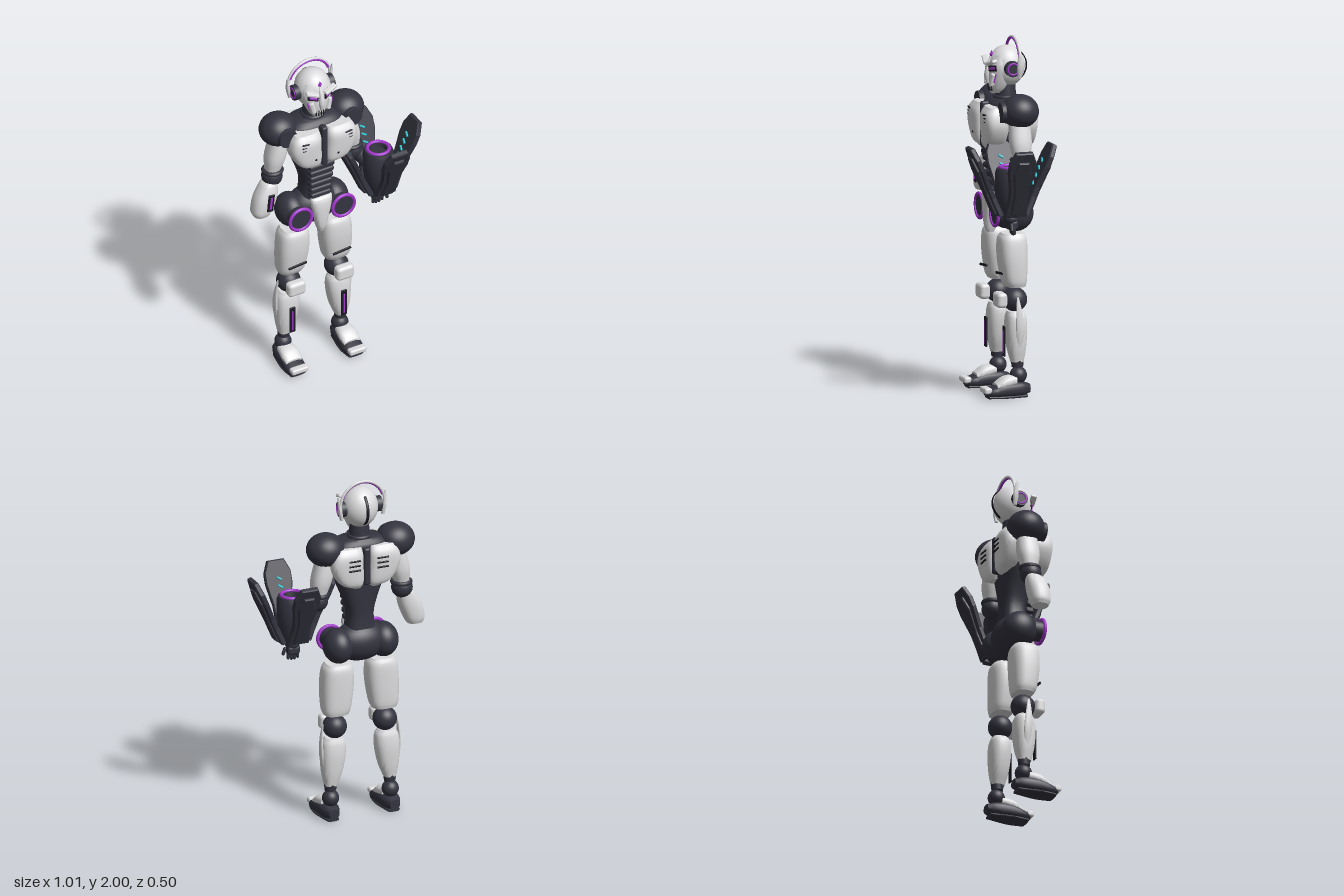
import * as THREE from 'three';
import { toCreasedNormals } from 'three/addons/utils/BufferGeometryUtils.js';
import { RoundedBoxGeometry } from 'three/addons/geometries/RoundedBoxGeometry.js';

const material = (name, color) => {
  const m = new THREE.MeshStandardMaterial({ color });
  m.name = name;
  return m;
};

export function createModel() {
  const white = material('white armour', 0xdcdcde);
  const dark = material('dark frame', 0x343440);
  const black = material('black slots', 0x1b1922);
  const purple = material('purple light', 0xa238cc);
  const cyan = material('cyan light', 0x22bcc6);

  const model = new THREE.Group();
  model.name = 'robot';
  const body = new THREE.Group();
  body.name = 'body';
  body.position.x = -0.123;
  model.add(body);

  const add = (name, geo, mat, x = 0, y = 0, z = 0, parent = body) => {
    const mesh = new THREE.Mesh(geo, mat);
    mesh.name = name;
    mesh.position.set(x, y, z);
    parent.add(mesh);
    return mesh;
  };
  const box = (w, h, d) => new RoundedBoxGeometry(w, h, d, 2, Math.min(w, h, d) * 0.35);
  const ball = (rx, ry = rx, rz = rx) => new THREE.SphereGeometry(1, 32, 20).scale(rx, ry, rz);
  const disc = (r, depth, r2 = r) => new THREE.CylinderGeometry(r, r2, depth, 32).rotateX(Math.PI / 2);

  // Smooth loft through rounded sections [y, centre x, centre z, radius x, radius z]
  const loft = (rows, n = 2.4, seg = 28, sub = 4) => {
    const centre = new THREE.CatmullRomCurve3(rows.map(r => new THREE.Vector3(r[1], r[0], r[2])), false, 'catmullrom');
    const radius = new THREE.CatmullRomCurve3(rows.map(r => new THREE.Vector3(r[3], r[4], 0)), false, 'catmullrom');
    const steps = (rows.length - 1) * sub;
    const pos = [], index = [];
    const ring = (t, k) => {
      const c = centre.getPoint(t), r = radius.getPoint(t);
      for (let j = 0; j < seg; j++) {
        const a = j / seg * Math.PI * 2, co = Math.cos(a), si = Math.sin(a);
        pos.push(c.x + k * r.x * Math.sign(co) * Math.abs(co) ** (2 / n), c.y,
          c.z + k * r.y * Math.sign(si) * Math.abs(si) ** (2 / n));
      }
    };
    ring(0, 0);
    for (let i = 0; i <= steps; i++) ring(i / steps, 1);
    ring(1, 0);
    for (let i = 0; i < steps + 2; i++) for (let j = 0; j < seg; j++) {
      const a = i * seg + j, b = i * seg + (j + 1) % seg;
      if (i > 0) index.push(a, a + seg, b);
      if (i === 0) index.push(a, a + seg, b + seg);
      else if (i < steps + 1) index.push(b, a + seg, b + seg);
    }
    const g = new THREE.BufferGeometry();
    g.setAttribute('position', new THREE.Float32BufferAttribute(pos, 3));
    g.setIndex(index);
    return toCreasedNormals(g, 0.8);
  };
  // Loft running along z; the third value is then minus y
  const loftZ = (rows, n) => loft(rows, n).rotateX(Math.PI / 2);

  // Torso and abdomen
  add('torso', loft([[1.08, 0, -0.09, 0.09, 0.075], [1.2, 0, -0.09, 0.075, 0.07], [1.3, 0, -0.085, 0.1, 0.08],
    [1.4, 0, -0.08, 0.14, 0.09], [1.52, 0, -0.08, 0.175, 0.105], [1.62, 0, -0.085, 0.165, 0.1], [1.655, 0, -0.09, 0.12, 0.07]], 2.8), dark);
  add('neck', new THREE.CylinderGeometry(0.052, 0.062, 0.12, 24), dark, 0, 1.69, -0.09);
  add('collar', new THREE.TorusGeometry(0.058, 0.012, 8, 28).rotateX(Math.PI / 2), dark, 0, 1.66, -0.09);
  for (let i = 0; i < 6; i++) add('abdomenRib', box(0.128 + i * 0.006, 0.034, 0.05), dark, 0, 1.15 + i * 0.041, -0.014 + i * 0.003);
  add('sternum', box(0.035, 0.26, 0.05), dark, 0, 1.51, 0.03);
  add('spine', box(0.04, 0.22, 0.05), dark, 0, 1.51, -0.185);

  // Pelvis
  add('pelvis', ball(0.16, 0.115, 0.105), dark, 0, 1.035, -0.095);
  add('groinPlate', loft([[0.905, 0, 0, 0.018, 0.02], [0.95, 0, 0, 0.032, 0.035], [1.06, 0, 0.005, 0.056, 0.036],
    [1.12, 0, 0.005, 0.066, 0.03], [1.14, 0, 0, 0.064, 0.02]], 2.6), white);

  // Head and face
  add('skull', ball(0.102, 0.117, 0.103), white, 0, 1.832, -0.095);
  add('faceMask', loft([[1.685, 0, -0.035, 0.034, 0.03], [1.715, 0, -0.045, 0.055, 0.05], [1.77, 0, -0.05, 0.077, 0.062],
    [1.84, 0, -0.05, 0.09, 0.058], [1.9, 0, -0.06, 0.072, 0.045]], 2.2), white);
  add('noseRidge', loft([[1.74, 0, 0.008, 0.008, 0.016], [1.79, 0, 0.014, 0.017, 0.018], [1.85, 0, 0.006, 0.011, 0.014],
    [1.89, 0, -0.012, 0.008, 0.01]], 2), white);
  add('foreheadGem', new THREE.OctahedronGeometry(1).scale(0.014, 0.024, 0.012), purple, 0, 1.9, -0.008);
  add('headSeam', new THREE.TorusGeometry(0.103, 0.003, 6, 40, Math.PI * 0.9).scale(1, 1.135, 3)
    .rotateY(Math.PI / 2).rotateX(-1.6), black, 0, 1.832, -0.095);
  for (let i = -2; i <= 2; i++) add('mouthSlit', box(0.005, 0.04, 0.008), black, i * 0.014, 1.718, 0.008 - Math.abs(i) * 0.004);
  add('headband', new THREE.TorusGeometry(0.132, 0.008, 8, 48, Math.PI), white, 0, 1.86, -0.135);
  add('headbandLight', new THREE.TorusGeometry(0.126, 0.0075, 8, 48, Math.PI * 0.8).rotateZ(Math.PI * 0.1), purple, 0, 1.86, -0.131);

  // Everything that exists on both sides
  for (const s of [-1, 1]) {
    add('eyeSocket', box(0.062, 0.034, 0.009), black, s * 0.047, 1.828, 0).rotation.set(0, s * 0.45, s * 0.15);
    add('eye', box(0.044, 0.015, 0.009), purple, s * 0.048, 1.828, 0.005).rotation.set(0, s * 0.45, s * 0.2);
    add('browPlate', box(0.08, 0.02, 0.034), white, s * 0.056, 1.862, 0.008).rotation.set(0.2, s * 0.25, s * 0.32);
    add('cheekPlate', box(0.026, 0.075, 0.03), white, s * 0.05, 1.765, 0.002).rotation.set(0, s * 0.5, s * -0.25);
    add('cheekLight', box(0.006, 0.05, 0.008), purple, s * 0.073, 1.775, -0.005).rotation.set(0, s * 0.8, s * -0.25);
    add('earDisc', new THREE.CylinderGeometry(0.044, 0.044, 0.04, 28).rotateZ(Math.PI / 2), dark, s * 0.105, 1.83, -0.095);
    add('earRing', new THREE.TorusGeometry(0.031, 0.005, 8, 28).rotateY(Math.PI / 2), purple, s * 0.125, 1.83, -0.095);
    add('earFin', loft([[1.78, s * 0.124, -0.13, 0.009, 0.01], [1.84, s * 0.134, -0.13, 0.012, 0.016],
      [1.915, s * 0.142, -0.125, 0.003, 0.006]], 2), white);

    // Chest and back plates with vents
    const plate = (z, d) => loft([[1.385, s * 0.055, z, 0.025, d * 0.5], [1.42, s * 0.085, z, 0.07, d * 0.85],
      [1.51, s * 0.11, z, 0.094, d], [1.58, s * 0.108, z, 0.09, d], [1.625, s * 0.1, z, 0.074, d * 0.6]], 3.2);
    add('chestPlate', plate(0.01, 0.07), white);
    add('backPlate', plate(-0.165, 0.06), white);
    for (let i = 0; i < 3; i++) {
      add('chestVent', box(0.045, 0.009, 0.009), black, s * 0.135, 1.545 + i * 0.02, 0.077).rotation.z = s * 0.1;
      add('backVent', box(0.07, 0.01, 0.009), black, s * 0.085, 1.505 + i * 0.028, -0.226);
    }
    add('chestBolt', disc(0.006, 0.008), black, s * 0.07, 1.46, 0.075);

    // Shoulder, upper arm, elbow
    add('shoulder', ball(0.11, 0.095, 0.105), dark, s * 0.21, 1.61, -0.105);
    add('shoulderDisc', disc(0.055, 0.04, 0.06), dark, s * 0.205, 1.605, -0.012);
    add('upperArm', loft([[1.35, s * 0.25, -0.1, 0.042, 0.045], [1.43, s * 0.235, -0.1, 0.057, 0.062],
      [1.52, s * 0.215, -0.1, 0.056, 0.06], [1.58, s * 0.21, -0.1, 0.045, 0.05]]), white);
    add('elbow', ball(0.06), dark, s * 0.255, 1.31, -0.095);
    add('elbowBand', new THREE.TorusGeometry(0.05, 0.013, 8, 28).rotateX(Math.PI / 2), dark, s * 0.25, 1.345, -0.098);

    // Hip
    add('hipJoint', ball(0.085, 0.1, 0.1), dark, s * 0.135, 1.025, -0.105);
    add('hipDisc', disc(0.058, 0.06), dark, s * 0.135, 1.03, -0.01);
    add('hipRing', new THREE.TorusGeometry(0.068, 0.01, 10, 40), purple, s * 0.135, 1.03, 0.018);

    // Leg
    add('thigh', loft([[0.62, s * 0.145, -0.095, 0.07, 0.055], [0.66, s * 0.143, -0.09, 0.083, 0.068],
      [0.78, s * 0.136, -0.083, 0.093, 0.079], [0.88, s * 0.132, -0.083, 0.086, 0.078], [0.918, s * 0.132, -0.085, 0.066, 0.062]], 2.8), white);
    add('thighSlot', box(0.115, 0.014, 0.009), black, s * 0.14, 0.695, -0.008).rotation.z = 0.1;
    add('knee', ball(0.068), dark, s * 0.151, 0.545, -0.095);
    add('kneeCap', box(0.11, 0.085, 0.06), white, s * 0.153, 0.548, -0.008);
    add('shin', loft([[0.2, s * 0.178, -0.098, 0.035, 0.036], [0.28, s * 0.17, -0.096, 0.058, 0.052],
      [0.38, s * 0.163, -0.095, 0.07, 0.06], [0.45, s * 0.16, -0.095, 0.066, 0.055], [0.482, s * 0.16, -0.095, 0.046, 0.045]], 2.6), white);
    add('shinPanel', box(0.036, 0.17, 0.009), black, s * 0.163, 0.315, -0.028);
    add('shinLight', box(0.01, 0.13, 0.006), purple, s * 0.163, 0.31, -0.024);
    add('calfFin', loft([[0.27, s * 0.22, -0.1, 0.006, 0.012], [0.38, s * 0.233, -0.1, 0.009, 0.024],
      [0.48, s * 0.232, -0.095, 0.007, 0.018], [0.565, s * 0.22, -0.09, 0.003, 0.006]], 2), white);
    add('ankleCuff', new THREE.CylinderGeometry(0.036, 0.032, 0.04, 24), dark, s * 0.179, 0.19, -0.1);
    add('ankle', ball(0.048), dark, s * 0.18, 0.125, -0.105);

    // Foot
    const foot = new THREE.Group();
    foot.name = 'foot';
    foot.position.x = s * 0.183;
    body.add(foot);
    add('shoe', loftZ([[-0.167, 0, -0.05, 0.03, 0.025], [-0.11, 0, -0.05, 0.052, 0.042], [-0.02, 0, -0.048, 0.06, 0.042],
      [0.05, 0, -0.038, 0.058, 0.03], [0.085, 0, -0.035, 0.045, 0.018]], 2.6), dark, 0, 0, 0, foot);
    add('sole', loftZ([[-0.15, 0, -0.01, 0.035, 0.01], [-0.02, 0, -0.01, 0.055, 0.01], [0.075, 0, -0.012, 0.046, 0.01]], 3), dark, 0, 0, 0, foot);
    add('toeCap', box(0.105, 0.034, 0.045), white, 0, 0.05, 0.083, foot);
    add('instep', loftZ([[-0.085, 0, -0.1, 0.045, 0.03], [-0.02, 0, -0.088, 0.055, 0.034], [0.03, 0, -0.068, 0.05, 0.018]], 2.4), white, 0, 0, 0, foot);
  }

  // Right forearm with blunt end and light panel
  add('rightForearm', loft([[1.085, -0.338, -0.075, 0.046, 0.045], [1.12, -0.333, -0.075, 0.06, 0.057],
    [1.2, -0.308, -0.078, 0.066, 0.06], [1.27, -0.282, -0.085, 0.05, 0.05], [1.29, -0.275, -0.09, 0.036, 0.04]], 2.5), white);
  const panel = add('forearmPanel', box(0.038, 0.11, 0.009), black, -0.306, 1.185, -0.015);
  panel.rotation.z = -0.1;
  add('forearmLight', box(0.014, 0.08, 0.006), purple, 0, 0, 0.004, panel);

  // Left arm cannon
  const cannon = new THREE.Group();
  cannon.name = 'cannon';
  cannon.position.set(0.243, 0, -0.002);
  model.add(cannon);
  const profile = [[0, 1.05], [0.05, 1.05], [0.075, 1.1], [0.088, 1.2], [0.088, 1.3], [0.078, 1.325], [0.05, 1.325], [0.045, 1.3], [0, 1.3]];
  add('cannonBody', toCreasedNormals(new THREE.LatheGeometry(profile.map(p => new THREE.Vector2(...p)), 32), 0.6), dark, 0, 0, 0, cannon);
  add('cannonRing', new THREE.TorusGeometry(0.061, 0.01, 10, 40).rotateX(Math.PI / 2), purple, 0, 1.328, 0, cannon);
  const link = new THREE.CatmullRomCurve3([new THREE.Vector3(-0.11, 1.31, -0.093), new THREE.Vector3(-0.05, 1.24, -0.05), new THREE.Vector3(0, 1.17, 0)]);
  add('leftForearm', new THREE.TubeGeometry(link, 10, 0.045, 16), dark, 0, 0, 0, cannon);

  // Four tilted petals with inner light ticks
  const outline = (pts, depth) => {
    const shape = new THREE.Shape([...pts, ...pts.slice().reverse().map(([x, y]) => [-x, y])].map(p => new THREE.Vector2(...p)));
    return new THREE.ExtrudeGeometry(shape, { depth, bevelEnabled: true, bevelThickness: 0.006, bevelSize: 0.006, bevelSegments: 1 });
  };
  const petalGeo = outline([[0.058, 0], [0.048, 0.1], [0.05, 0.16], [0.073, 0.28], [0.073, 0.34], [0.045, 0.405]], 0.018);
  const ribGeo = outline([[0.03, 0.02], [0.025, 0.14], [0.045, 0.28], [0.025, 0.35]], 0.008);
  for (let i = 0; i < 4; i++) {
    const arm = new THREE.Group();
    arm.name = 'petalArm';
    arm.rotation.y = i * Math.PI / 2;
    cannon.add(arm);
    const petal = new THREE.Group();
    petal.name = 'petal';
    petal.position.set(0, 1.075, 0.068);
    petal.rotation.x = 0.41;
    arm.add(petal);
    add('petalPlate', petalGeo, dark, 0, 0, 0, petal);
    add('petalRib', ribGeo, dark, 0, 0, 0.024, petal);
    for (let k = 0; k < 4; k++) add('petalTick', box(0.034, 0.012, 0.012), cyan, 0, 0.17 + k * 0.045, -0.01, petal).rotation.z = 0.6;
  }

  // Left hand
  add('leftWrist', ball(0.042, 0.035, 0.042), dark, 0, 1.04, 0, cannon);
  add('leftPalm', box(0.075, 0.055, 0.05), dark, 0, 1.005, -0.01, cannon);
  for (let i = 0; i < 4; i++) add('finger', new THREE.CapsuleGeometry(0.009, 0.03 + (i % 3 ? 0.012 : 0), 4, 10), dark, -0.028 + i * 0.019, 0.975, -0.01, cannon);
  add('thumb', new THREE.CapsuleGeometry(0.01, 0.03, 4, 10), dark, 0.045, 0.995, 0.01, cannon).rotation.z = 0.35;

  return model;
}
